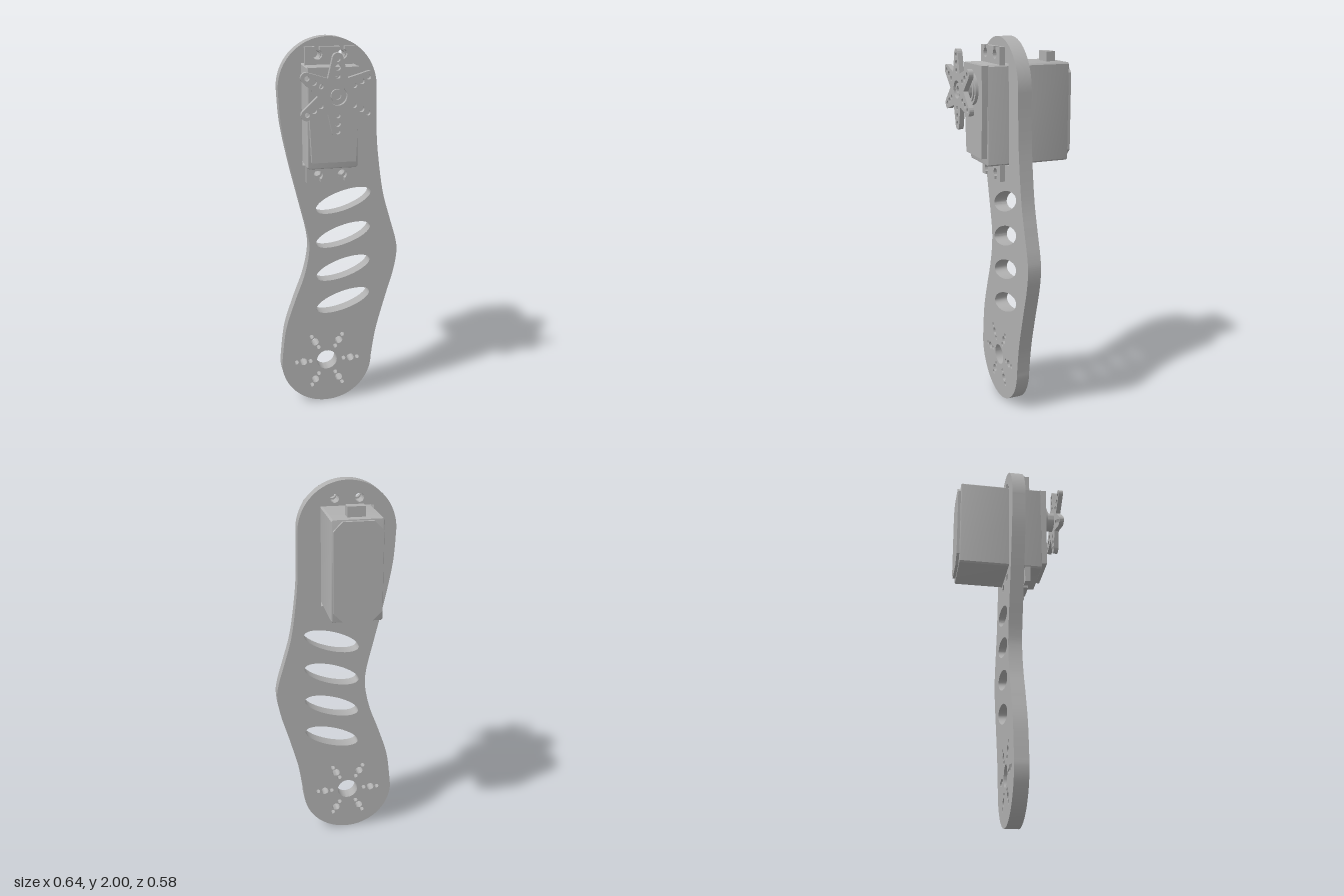
import * as THREE from 'three';
import { toCreasedNormals } from 'three/addons/utils/BufferGeometryUtils.js';

const grey = new THREE.MeshStandardMaterial({ color: 0xb0b0b0 });
grey.name = 'matt grey';

const CX = -0.058; // servo centre line
const SHAFT_Y = 1.745;
const MID_Y = 1.618; // middle of the servo case
const TAU = Math.PI * 2;

function part(name, geometry, x = 0, y = 0, z = 0) {
  const mesh = new THREE.Mesh(toCreasedNormals(geometry, 0.5), grey);
  mesh.name = name;
  mesh.position.set(x, y, z);
  return mesh;
}

function extrude(shape, z0, z1, bevel = 0) {
  const g = new THREE.ExtrudeGeometry(shape, {
    depth: z1 - z0 - 2 * bevel, curveSegments: 20, bevelEnabled: bevel > 0,
    bevelSize: bevel, bevelThickness: bevel, bevelOffset: -bevel, bevelSegments: 2,
  });
  return g.translate(0, 0, z0 + bevel);
}

function polygon(points) {
  return new THREE.Shape(points.map(([x, y]) => new THREE.Vector2(x, y)));
}

function roundHole(shape, x, y, r) {
  shape.holes.push(new THREE.Path().absarc(x, y, r, 0, TAU, true));
}

// Three holes along each of six arms
function spokeHoles(shape, cx, cy, turn) {
  for (let i = 0; i < 6; i++) {
    const a = turn + i * TAU / 6;
    for (const [d, r] of [[0.093, 0.012], [0.132, turn ? 0.014 : 0.021], [0.17, 0.012]]) {
      roundHole(shape, cx + d * Math.cos(a), cy + d * Math.sin(a), r);
    }
  }
}

function linkShape() {
  const v = (pts) => pts.map(([x, y]) => new THREE.Vector2(x, y));
  const s = new THREE.Shape();
  s.absarc(-0.06, 1.75, 0.25, 0, Math.PI, false);
  s.splineThru(v([[-0.298, 1.58], [-0.26, 1.38], [-0.21, 1.17], [-0.168, 0.99], [-0.163, 0.89],
    [-0.19, 0.76], [-0.245, 0.61], [-0.295, 0.45], [-0.32, 0.25]]));
  s.absarc(-0.07, 0.25, 0.25, Math.PI, TAU, false);
  s.splineThru(v([[0.205, 0.41], [0.255, 0.6], [0.298, 0.75], [0.315, 0.86], [0.305, 0.94],
    [0.27, 1.06], [0.23, 1.21], [0.2, 1.43], [0.191, 1.6], [0.19, 1.75]]));
  // Slanted slots
  for (let i = 0; i < 4; i++) {
    s.holes.push(new THREE.Path().absellipse(0.02, 0.6 + i * 0.188, 0.152, 0.053, 0, TAU, true, 0.3));
  }
  // Horn mounting pattern
  roundHole(s, -0.07, 0.25, 0.056);
  spokeHoles(s, -0.07, 0.25, 0);
  // Servo opening and screw holes
  s.holes.push(new THREE.Path(v([[-0.192, 1.362], [-0.192, 1.875], [0.074, 1.875], [0.074, 1.362]])));
  for (const dx of [-0.062, 0.062]) {
    roundHole(s, CX + dx, 1.912, 0.022);
    roundHole(s, CX + dx, 1.325, 0.022);
  }
  return s;
}

// Mounting ear with two keyhole notches open at the outer edge
function earShape() {
  const s = new THREE.Shape();
  s.moveTo(-0.123, -0.02);
  s.lineTo(0.123, -0.02);
  s.lineTo(0.123, 0.085);
  for (const cx of [0.062, -0.062]) {
    s.lineTo(cx + 0.012, 0.085);
    s.absarc(cx, 0.048, 0.024, Math.PI / 3, Math.PI * 2 / 3, true);
    s.lineTo(cx - 0.012, 0.085);
  }
  s.lineTo(-0.123, 0.085);
  return s;
}

// Six-armed star
function hornShape() {
  const s = new THREE.Shape();
  for (let i = 0; i < 6; i++) {
    const a = (i + 0.5) * TAU / 6, b = a + TAU / 12;
    s.absarc(0.174 * Math.cos(a), 0.174 * Math.sin(a), 0.026, a - 1.35, a + 1.35, false);
    s.lineTo(0.096 * Math.cos(b), 0.096 * Math.sin(b));
  }
  s.closePath();
  roundHole(s, 0, 0, 0.045);
  spokeHoles(s, 0, 0, TAU / 12);
  return s;
}

// Rectangle with cut corners, centred on the origin
function cutRect(w, h, c) {
  return polygon([[-w + c, -h], [w - c, -h], [w, -h + c], [w, h - c],
    [w - c, h], [-w + c, h], [-w, h - c], [-w, -h + c]]);
}

export function createModel() {
  const model = new THREE.Group();
  model.name = 'servoLeg';
  model.add(part('legLink', extrude(linkShape(), -0.01, 0.062)));

  const servo = new THREE.Group();
  servo.name = 'servo';
  model.add(servo);

  // Case with a raised back cover, clipped at its corners
  servo.add(part('servoCase', extrude(cutRect(0.127, 0.252, 0.008), -0.275, 0.172, 0.007), CX, MID_Y));
  servo.add(part('backCover', extrude(cutRect(0.12, 0.244, 0.045), -0.29, -0.27), CX, MID_Y));

  // Tapered gearbox lid on the front
  const lid = polygon([[-0.11, -0.213], [0.11, -0.213], [0.125, 0.1], [0.125, 0.25], [-0.125, 0.25], [-0.125, 0.1]]);
  servo.add(part('gearboxLid', extrude(lid, 0.165, 0.202), CX, MID_Y));

  // Ears above and below
  for (const side of [1, -1]) {
    const ear = part('mountingEar', extrude(earShape(), 0.079, 0.108), CX, MID_Y + side * 0.252);
    if (side < 0) ear.rotation.z = Math.PI;
    servo.add(ear);
  }

  servo.add(part('cableOutlet', new THREE.BoxGeometry(0.088, 0.06, 0.05), CX, 1.89, -0.21));

  // Stepped bearing, output shaft and screw head in one turned profile
  const profile = [[0.08, 0.195], [0.08, 0.218], [0.066, 0.218], [0.066, 0.225], [0.052, 0.225],
    [0.052, 0.266], [0.045, 0.266], [0.031, 0.266], [0.031, 0.282], [0.017, 0.282], [0.017, 0.27], [0, 0.27]];
  const turned = new THREE.LatheGeometry(profile.map(([r, z]) => new THREE.Vector2(r, z)), 40);
  servo.add(part('outputShaft', turned.rotateX(Math.PI / 2), CX, SHAFT_Y));

  servo.add(part('starHorn', extrude(hornShape(), 0.263, 0.288), CX, SHAFT_Y));
  return model;
}
